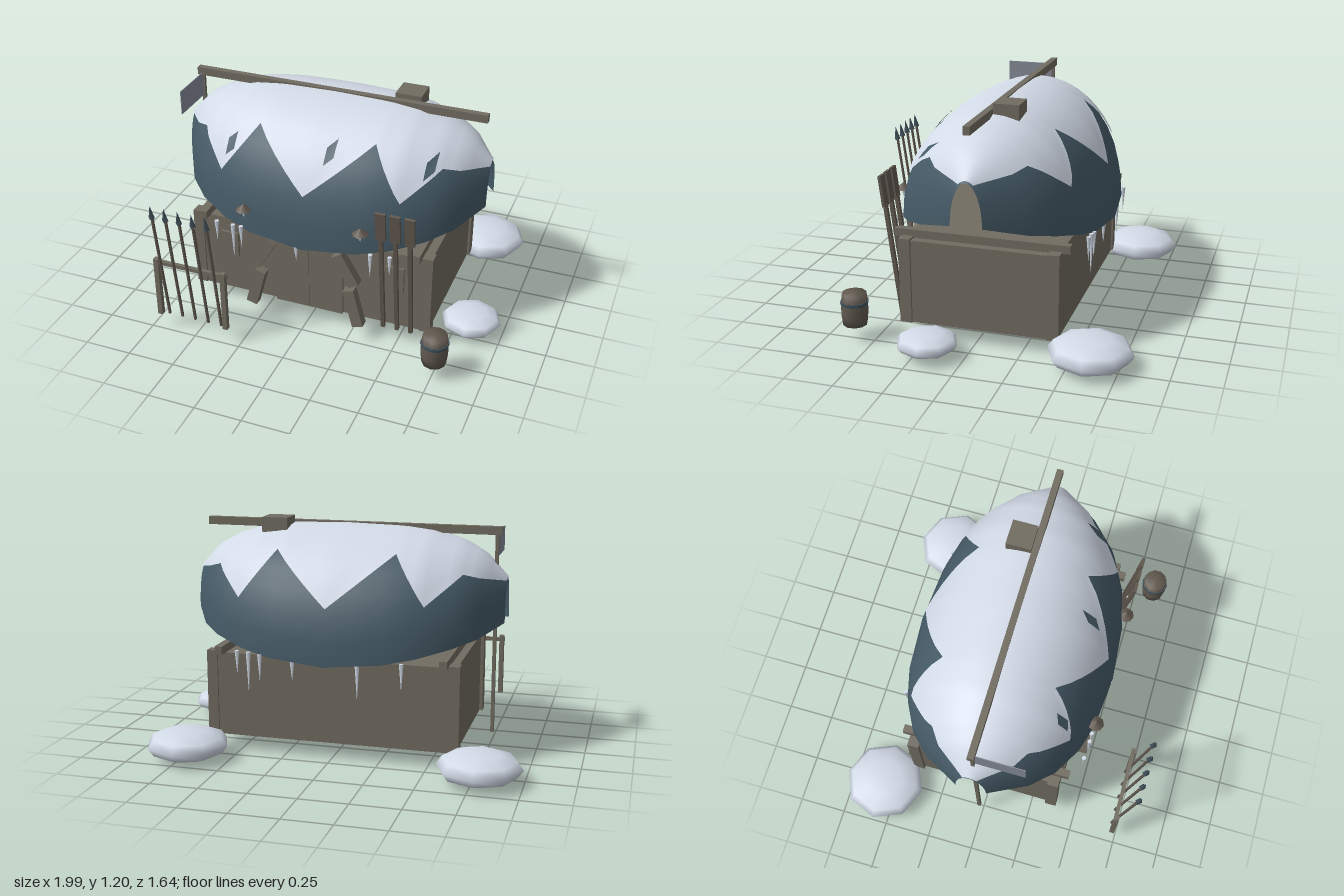
import * as THREE from 'three';

const mat = (name, color, side = THREE.FrontSide) => {
  const m = new THREE.MeshStandardMaterial({ color, side });
  m.name = name;
  return m;
};

// Half outline of the hull roof: [x, half width, eave height, ridge height]
const STATIONS = [
  [0, 0.54, 0.525, 1.165], [0.29, 0.515, 0.55, 1.158], [0.45, 0.47, 0.58, 1.14],
  [0.61, 0.385, 0.62, 1.09], [0.72, 0.275, 0.65, 1.03], [0.83, 0.08, 0.7, 0.918],
];
// Zigzag lower edge of the snow: [x, y]
const ZIGZAG = [[0, 0.805], [0.31, 1.055], [0.48, 0.825], [0.64, 0.96], [0.83, 0.9]];
const ZC = -0.025;

// Linear lookup in a table keyed by its first column
function lookup(table, x) {
  const a = Math.min(Math.abs(x), 0.83);
  let i = 1;
  while (i < table.length - 1 && table[i][0] < a) i++;
  const p = table[i - 1], q = table[i], t = (a - p[0]) / (q[0] - p[0]);
  return p.map((v, k) => v + (q[k] - v) * t);
}

// Point on the hull at x and angle from the ridge, pushed out by off
function hullPoint(x, angle, off) {
  const [, w, low, top] = lookup(STATIONS, x);
  return [x + 0.005, low + (top - low + off) * Math.cos(angle), ZC + (w + off) * Math.sin(angle)];
}

function angleAtHeight(x, y) {
  const [, , low, top] = lookup(STATIONS, x);
  return Math.acos(Math.min(1, Math.max(0, (y - low) / (top - low))));
}

// Surface from a list of x values and cross-section steps
function skin(xs, steps, point) {
  const pos = [], index = [], row = steps + 1;
  xs.forEach((x, i) => {
    for (let j = 0; j <= steps; j++) {
      pos.push(...point(x, (j / steps) * 2 - 1));
      if (i && j) {
        const d = i * row + j, c = d - 1, b = d - row, a = b - 1;
        index.push(a, b, c, b, d, c);
      }
    }
  });
  const g = new THREE.BufferGeometry();
  g.setAttribute('position', new THREE.Float32BufferAttribute(pos, 3));
  g.setIndex(index);
  g.computeVertexNormals();
  return g;
}

const mirrored = (list) => [...list.slice(1).map((v) => -v).reverse(), ...list];

export function createModel() {
  const model = new THREE.Group();
  const wood = mat('weathered wood', 0x716c61);
  const darkWood = mat('dark wood', 0x625a50);
  const slate = mat('slate roof', 0x455a66, THREE.DoubleSide);
  const snow = mat('snow', 0xd3dbe8, THREE.DoubleSide);
  const iron = mat('iron', 0x40515c);
  const cloth = mat('grey cloth', 0x858b98, THREE.DoubleSide);

  const add = (name, geo, material, x = 0, y = 0, z = 0) => {
    const m = new THREE.Mesh(geo, material);
    m.name = name;
    m.position.set(x, y, z);
    model.add(m);
    return m;
  };
  // Box given by its limits on each axis
  const box = (name, x0, x1, y0, y1, z0, z1, material = wood) =>
    add(name, new THREE.BoxGeometry(x1 - x0, y1 - y0, z1 - z0), material,
      (x0 + x1) / 2, (y0 + y1) / 2, (z0 + z1) / 2);
  // Stretch a unit-tall geometry between two points
  const between = (name, geo, material, a, b) => {
    const p = new THREE.Vector3(...a), q = new THREE.Vector3(...b);
    const m = add(name, geo, material);
    m.position.copy(p).lerp(q, 0.5);
    m.scale.y = p.distanceTo(q);
    m.quaternion.setFromUnitVectors(new THREE.Vector3(0, 1, 0), q.sub(p).normalize());
    return m;
  };

  // Hall walls, corner posts and wall plates
  box('hallWalls', -0.64, 0.655, 0.09, 0.53, -0.425, 0.38);
  for (const x of [-0.63, 0.64]) {
    for (const z of [-0.405, 0.36]) box('cornerPost', x - 0.028, x + 0.028, 0.092, 0.54, z - 0.03, z + 0.03);
  }
  for (const x of [-0.58, 0.59]) box('wallPlate', x - 0.02, x + 0.02, 0.53, 0.572, -0.475, 0.43);

  // Double door, lintel and shuttered windows
  for (const s of [-1, 1]) {
    box('doorLeaf', s < 0 ? -0.182 : 0.006, s < 0 ? 0.004 : 0.192, 0.092, 0.5, 0.38, 0.4);
    const x = s < 0 ? -0.45 : 0.47;
    box('windowShutter', x - 0.05, x + 0.05, 0.31, 0.45, 0.38, 0.395);
  }
  box('doorLintel', -0.23, 0.235, 0.49, 0.53, 0.38, 0.43);

  // Jointed carved posts on both sides of the door
  for (const s of [-1, 1]) {
    const c = 0.005;
    between('upperDoorPost', new THREE.BoxGeometry(0.06, 1, 0.05), wood,
      [c + s * 0.18, 0.505, 0.45], [c + s * 0.275, 0.34, 0.45]);
    between('lowerDoorPost', new THREE.BoxGeometry(0.06, 1, 0.05), wood,
      [c + s * 0.245, 0.305, 0.455], [c + s * 0.3, 0.095, 0.455]);
  }

  // Upturned hull roof
  const hullXs = mirrored([0, 0.15, 0.29, 0.45, 0.61, 0.72, 0.83]);
  add('hullRoof', skin(hullXs, 16, (x, t) => hullPoint(x, t * Math.PI / 2, 0)), slate);

  // Snow blanket with a jagged lower edge
  const snowXs = [];
  ZIGZAG.forEach(([x], i) => {
    const next = ZIGZAG[i + 1];
    for (let k = 0; k < (next ? 5 : 1); k++) snowXs.push(x + (next ? (next[0] - x) * k / 5 : 0));
  });
  add('roofSnow', skin(mirrored(snowXs), 14, (x, t) =>
    hullPoint(x, t * angleAtHeight(x, lookup(ZIGZAG, x)[1]), 0.012)), snow);

  // Bare patches showing through the snow
  for (const [x, y] of [[-0.44, 0.95], [0.1, 1.0], [0.59, 0.97]]) {
    add('barePatch', skin([x - 0.022, x + 0.022], 2, (px, t) =>
      hullPoint(px, angleAtHeight(px, y - t * 0.035 + (px - x) * 0.8), 0.02)), slate);
  }

  // Ridge beam, smoke box, flagpole and flag
  box('ridgeBeam', -0.79, 0.8, 1.138, 1.18, -0.037, -0.003);
  box('smokeBox', 0.31, 0.448, 1.125, 1.205, -0.17, -0.037);
  box('flagpole', -0.774, -0.756, 0.09, 1.14, -0.029, -0.011);
  box('flag', -0.767, -0.763, 1.02, 1.15, -0.01, 0.245, cloth);

  // Icicles along the eaves: [x, z, top, tip]
  const icicles = [
    [-0.475, 0.48, 0.57, 0.45], [-0.38, 0.485, 0.57, 0.36], [-0.335, 0.485, 0.57, 0.44],
    [-0.02, 0.505, 0.53, 0.45], [0.37, 0.485, 0.565, 0.43], [0.47, 0.48, 0.57, 0.46],
    [-0.385, -0.53, 0.56, 0.42], [-0.165, -0.54, 0.54, 0.36], [0.17, -0.54, 0.54, 0.44],
    [0.345, -0.53, 0.56, 0.42], [0.405, -0.53, 0.57, 0.35], [0.465, -0.53, 0.575, 0.45],
  ];
  for (const [x, z, top, tip] of icicles) {
    between('icicle', new THREE.ConeGeometry(0.012, 1, 6), snow, [x, top, z], [x, tip, z]);
  }

  // Small hooded lamps on the eaves
  for (const x of [-0.31, 0.32]) {
    add('lampHood', new THREE.ConeGeometry(0.042, 0.035, 8), darkWood, x, 0.697, 0.495);
    between('lampIcicle', new THREE.ConeGeometry(0.014, 1, 6), snow, [x, 0.685, 0.495], [x, 0.635, 0.495]);
  }

  // Oars leaning on the front wall
  for (const x of [0.425, 0.5, 0.575]) {
    between('oarShaft', new THREE.BoxGeometry(0.02, 1, 0.02), darkWood, [x, 0.09, 0.415], [x, 0.68, 0.49]);
    between('oarBlade', new THREE.BoxGeometry(0.052, 1, 0.016), darkWood, [x, 0.67, 0.489], [x, 0.83, 0.509]);
  }

  // Spear rack
  for (const x of [-0.703, -0.327]) box('rackPost', x - 0.013, x + 0.013, 0.09, 0.435, 0.715, 0.742);
  box('rackRail', -0.72, -0.31, 0.402, 0.423, 0.713, 0.733);
  for (let i = 0; i < 5; i++) {
    const x = -0.66 + i * 0.075;
    between('spearShaft', new THREE.CylinderGeometry(0.008, 0.008, 1, 6), darkWood, [x, 0.09, 0.715], [x, 0.745, 0.805]);
    between('spearHead', new THREE.ConeGeometry(0.018, 1, 4), iron, [x, 0.735, 0.804], [x, 0.81, 0.815]);
  }

  // Barrel with a hoop
  const barrelProfile = [[0, 0], [0.062, 0], [0.068, 0.05], [0.069, 0.085], [0.068, 0.12], [0.062, 0.17], [0, 0.17]];
  add('barrel', new THREE.LatheGeometry(barrelProfile.map((p) => new THREE.Vector2(...p)), 10), darkWood, 0.755, 0.09, 0.6);
  add('barrelHoop', new THREE.CylinderGeometry(0.072, 0.072, 0.016, 10), iron, 0.755, 0.21, 0.6);

  // Snow drifts: [x, y, z, radius, half height]
  for (const [x, y, z, r, h] of [
    [-0.785, 0.087, -0.567, 0.215, 0.08], [0.715, 0.087, -0.608, 0.215, 0.08], [0.835, 0.083, 0.185, 0.157, 0.056],
  ]) add('snowDrift', new THREE.SphereGeometry(1, 8, 6), snow, x, y, z).scale.set(r, h, r);

  return model;
}
